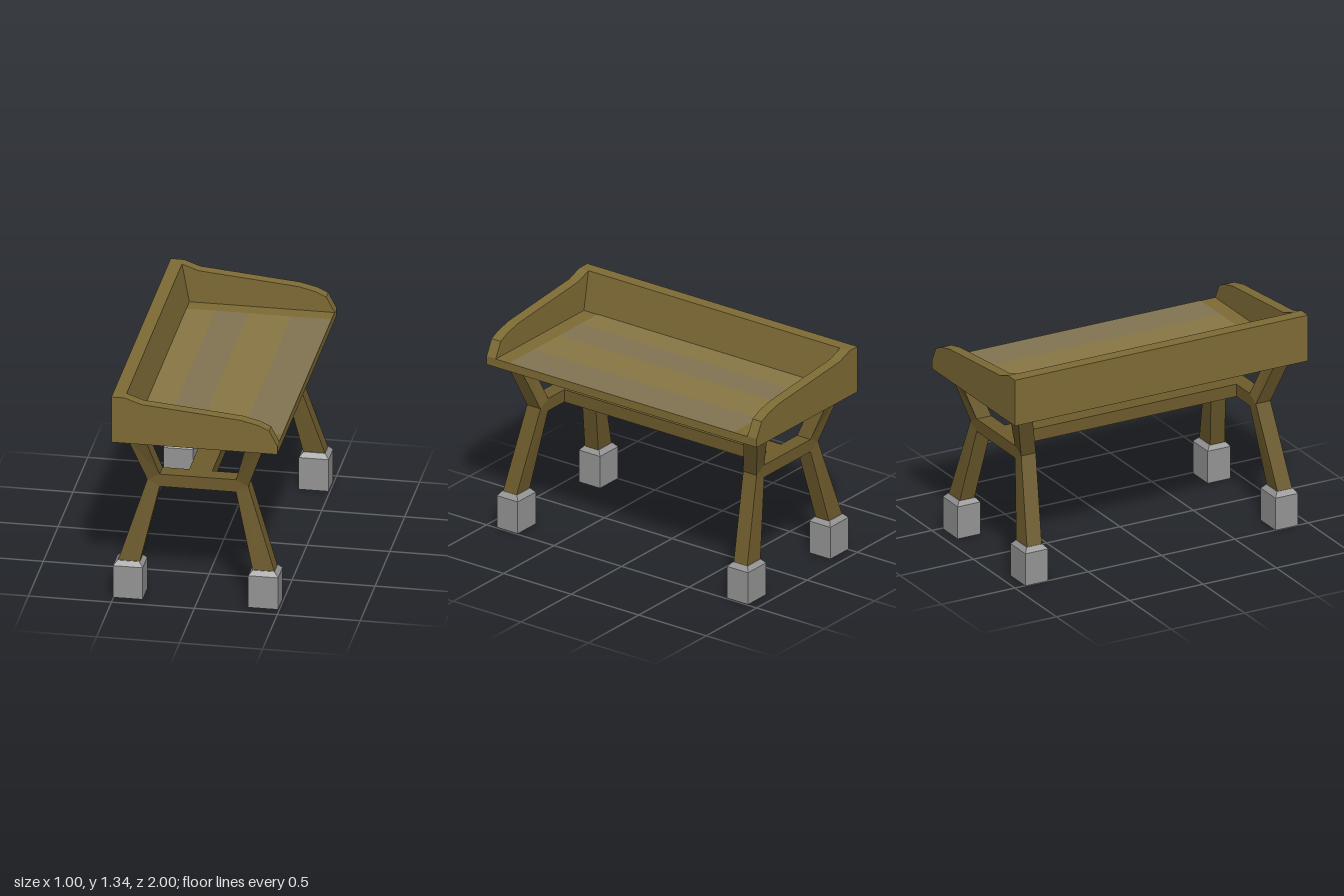
import * as THREE from 'three';

const mat = (color) => new THREE.MeshStandardMaterial({ color, flatShading: true });
const trayWood = mat(0x7e6b35);
const legWood = mat(0x6d5b2c);
const boardA = mat(0x897644);
const boardB = mat(0x827452);
const stone = mat(0x959595);

const CX = -0.006; // middle of the leg frame in x

function add(parent, name, geometry, material, x = 0, y = 0, z = 0) {
  const mesh = new THREE.Mesh(geometry, material);
  mesh.name = name;
  mesh.position.set(x, y, z);
  parent.add(mesh);
  return mesh;
}

// Side profile in x/y, extruded along z from z0
function extrudeProfile(points, z0, depth) {
  const shape = new THREE.Shape(points.map(([x, y]) => new THREE.Vector2(x, y)));
  return new THREE.ExtrudeGeometry(shape, { depth, bevelEnabled: false }).translate(0, 0, z0);
}

// Four-sided loft for the corner (sx, sz).
// Each ring: inner x, outer x, inner z, outer z, inner y, outer y
function loft(rings, sx, sz) {
  const pos = [];
  const idx = [];
  for (const [xi, xo, zi, zo, yi, yo = yi] of rings) {
    pos.push(
      CX + sx * xi, yi, sz * zi, CX + sx * xi, yi, sz * zo,
      CX + sx * xo, yo, sz * zo, CX + sx * xo, yo, sz * zi,
    );
  }
  const quad = (a, b, c, d) =>
    sx * sz > 0 ? idx.push(a, b, c, a, c, d) : idx.push(a, c, b, a, d, c);
  for (let r = 0; r < rings.length - 1; r++) {
    for (let k = 0; k < 4; k++) {
      const a = r * 4 + k;
      const b = r * 4 + ((k + 1) % 4);
      quad(a, b, b + 4, a + 4);
    }
  }
  const t = (rings.length - 1) * 4;
  quad(3, 2, 1, 0);
  quad(t, t + 1, t + 2, t + 3);
  const g = new THREE.BufferGeometry();
  g.setAttribute('position', new THREE.Float32BufferAttribute(pos, 3));
  g.setIndex(idx);
  const flat = g.toNonIndexed();
  flat.computeVertexNormals();
  return flat;
}

export function createModel() {
  const model = new THREE.Group();
  model.name = 'trayTable';

  // Tray: floor and sloping back wall in one profile
  const tray = new THREE.Group();
  tray.name = 'tray';
  model.add(tray);
  const body = [[-0.5, 1.045], [0.5, 1.045], [0.5, 1.098], [-0.375, 1.098], [-0.42, 1.34], [-0.5, 1.34]];
  add(tray, 'floorAndBack', extrudeProfile(body, -0.932, 1.864), trayWood);

  // Shaped end panels
  const end = [
    [-0.5, 1.045], [0.5, 1.045], [0.5, 1.1], [0.45, 1.195], [0.385, 1.225],
    [0.28, 1.25], [-0.32, 1.305], [-0.42, 1.34], [-0.5, 1.34],
  ];
  add(tray, 'frontEndPanel', extrudeProfile(end, 0.932, 0.068), trayWood);
  add(tray, 'backEndPanel', extrudeProfile(end, -1, 0.068), trayWood);

  // Coloured floor boards
  const edges = [-0.375, -0.2, 0, 0.26, 0.5];
  for (let i = 0; i < 4; i++) {
    const g = new THREE.PlaneGeometry(edges[i + 1] - edges[i], 1.66).rotateX(-Math.PI / 2);
    add(tray, 'floorBoard', g, i % 2 ? boardB : boardA, (edges[i] + edges[i + 1]) / 2, 1.1, 0);
  }

  // Bent legs and stone feet at the four corners
  const legRings = [
    [0.342, 0.474, 0.805, 0.905, 0.225],
    [0.23, 0.305, 0.75, 0.85, 0.71, 0.75],
    [0.23, 0.305, 0.75, 0.85, 0.79, 0.75],
    [0.305, 0.412, 0.835, 0.932, 1.05],
  ];
  const footRings = [
    [0.318, 0.498, 0.775, 0.93, 0],
    [0.318, 0.498, 0.775, 0.93, 0.207],
    [0.342, 0.473, 0.8, 0.908, 0.235],
  ];
  for (const sz of [1, -1]) {
    const frame = new THREE.Group();
    frame.name = sz > 0 ? 'frontLegFrame' : 'backLegFrame';
    model.add(frame);
    for (const sx of [1, -1]) {
      add(frame, 'leg', loft(legRings, sx, sz), legWood);
      add(frame, 'foot', loft(footRings, sx, sz), stone);
    }
    add(frame, 'crossbar', new THREE.BoxGeometry(0.46, 0.08, 0.1), legWood, CX, 0.75, sz * 0.8);
  }

  // Long beam joining both frames
  add(model, 'longBeam', new THREE.BoxGeometry(0.14, 0.08, 1.5), legWood, CX, 0.75, 0);

  return model;
}
